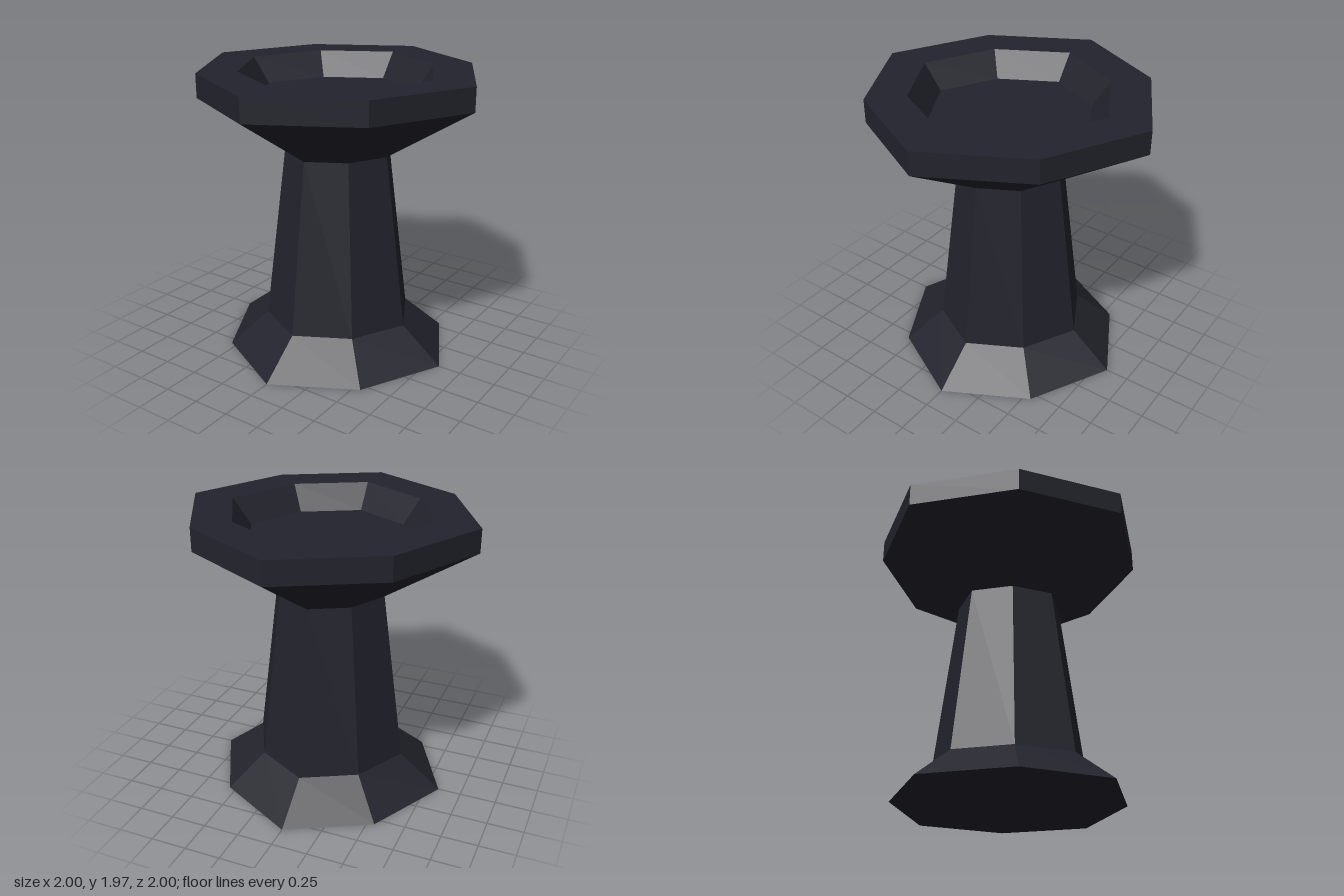
import * as THREE from 'three';

const SIDES = 8;
const DIAGONAL = 0.926; // diagonal corners sit slightly closer to the axis

// Faceted eight-sided ring from a [radius, y] profile, outside listed upwards
function octagon(name, profile, material) {
  const lathe = new THREE.LatheGeometry(profile.map(([r, y]) => new THREE.Vector2(r, y)), SIDES);
  const pos = lathe.attributes.position;
  for (let i = 0; i < pos.count; i++) {
    const x = pos.getX(i), z = pos.getZ(i);
    if (Math.abs(x) > 0.01 && Math.abs(z) > 0.01) {
      pos.setX(i, x * DIAGONAL);
      pos.setZ(i, z * DIAGONAL);
    }
  }
  const geometry = lathe.toNonIndexed();
  geometry.computeVertexNormals(); // flat facets
  const mesh = new THREE.Mesh(geometry, material);
  mesh.name = name;
  return mesh;
}

export function createModel() {
  const stone = new THREE.MeshStandardMaterial({ color: 0x23232d });
  stone.name = 'dark stone';

  const model = new THREE.Group();
  model.name = 'pedestalBasin';
  model.add(
    // Flared foot with closed underside
    octagon('foot', [[0, 0], [0.84, 0], [0.55, 0.23]], stone),
    // Tapered column
    octagon('column', [[0.55, 0.23], [0.39, 1.425]], stone),
    // Flared underside and upright rim
    octagon('bowl', [[0.39, 1.425], [1, 1.81], [1, 1.97]], stone),
    // Flat top of the rim
    octagon('rim', [[1, 1.97], [0.71, 1.97]], stone),
    // Recessed basin with sloping walls and flat floor
    octagon('basin', [[0.71, 1.97], [0.58, 1.8], [0, 1.8]], stone),
  );
  return model;
}
